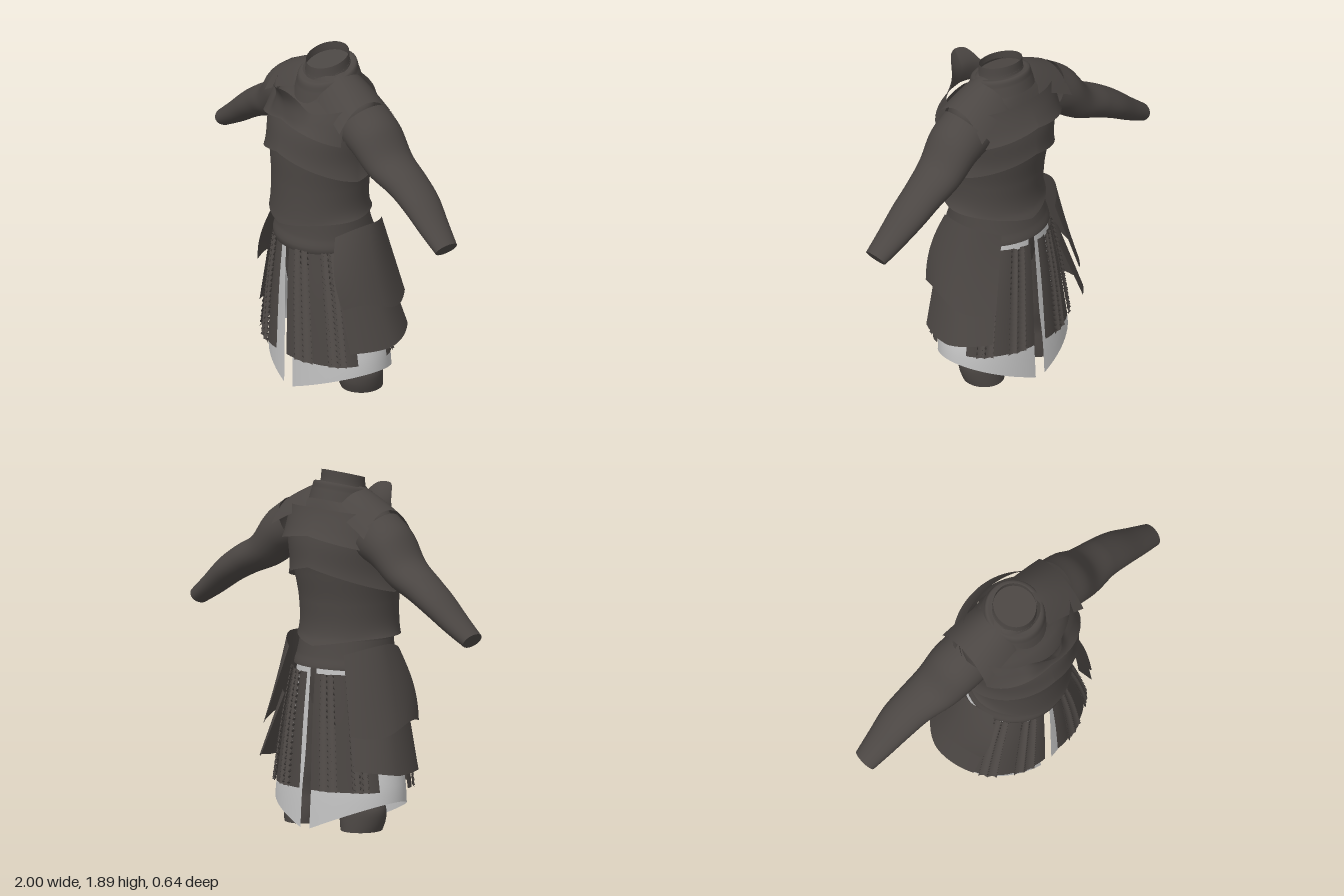
import * as THREE from 'three';
import { ParametricGeometry } from 'three/addons/geometries/ParametricGeometry.js';

const leather = new THREE.MeshStandardMaterial({ color: 0x4b4643, side: THREE.DoubleSide });
leather.name = 'dark leather';
const linen = new THREE.MeshStandardMaterial({ color: 0xc2c2c2, side: THREE.DoubleSide });
linen.name = 'pale linen';

const { lerp } = THREE.MathUtils;
const PI = Math.PI;

// Smooth lookup: rows of [key, ...values] with rising keys
function table(rows) {
  const n = rows[0].length - 1;
  const curve = new THREE.CubicInterpolant(rows.map(r => r[0]), rows.flatMap(r => r.slice(1)), n);
  return t => Array.from(curve.evaluate(t));
}

export function createModel() {
  const model = new THREE.Group();

  // Mesh from a rule (u, v) -> [x, y, z]
  function surface(name, nu, nv, rule, material = leather) {
    const geo = new ParametricGeometry((u, v, p) => p.set(...rule(u, v)), nu, nv);
    const mesh = new THREE.Mesh(geo, material);
    mesh.name = name;
    model.add(mesh);
  }

  // Point on an oval body section: [half width, front z, back z] at height y
  function around(profile, y, angle, out = 0) {
    const [a, zf, zb] = profile(y);
    const c = (zf + zb) / 2, b = (zf - zb) / 2;
    return [(a + out) * Math.sin(angle), y, c + (b + out) * Math.cos(angle)];
  }

  // Shell wrapped round the body between two edges that vary with the angle
  function wrap(name, profile, from, to, low, high, out = () => 0, material = leather, nu = 48, nv = 10) {
    surface(name, nu, nv, (u, v) => {
      const t = lerp(from, to, u);
      return around(profile, lerp(low(t), high(t), v), t, out(v, t, u));
    }, material);
  }

  // Undershirt body
  const body = table([
    [0.66, 0.25, 0.17, -0.19], [0.85, 0.26, 0.22, -0.22], [1.05, 0.25, 0.23, -0.2], [1.3, 0.27, 0.24, -0.21],
    [1.5, 0.31, 0.24, -0.24], [1.6, 0.32, 0.2, -0.23], [1.68, 0.31, 0.14, -0.2], [1.75, 0.2, 0.11, -0.17],
    [1.8, 0.13, 0.09, -0.14]
  ]);
  wrap('undershirt', body, 0, 2 * PI, () => 0.66, () => 1.8, undefined, leather, 48, 40);

  // Standing collar, tilted forward, with a folded lower band and a closed neck
  const collar = table([[0, 1.77, 0.13], [0.5, 1.81, 0.118], [1, 1.865, 0.113]]);
  const fold = table([[0, 1.7, 0.18], [0.4, 1.755, 0.164], [0.8, 1.8, 0.148], [1, 1.8, 0.12]]);
  const neck = table([[0, 1.815, 0], [0.5, 1.815, 0.06], [1, 1.815, 0.118]]);
  for (const [name, rows] of [['collar', collar], ['collarFold', fold], ['neckBase', neck]]) {
    surface(name, 40, 10, (u, v) => {
      const t = u * 2 * PI, [y, r] = rows(v);
      return [r * Math.sin(t), y - 0.29 * r * Math.cos(t), -0.015 + r * Math.cos(t)];
    });
  }

  // Layered cuirass, each edge rising to a point at the middle of chest and back
  const chest = table([
    [0.97, 0.29, 0.3, -0.255], [1.03, 0.272, 0.29, -0.225], [1.2, 0.27, 0.282, -0.222], [1.35, 0.293, 0.285, -0.245],
    [1.5, 0.318, 0.28, -0.265], [1.6, 0.322, 0.245, -0.25], [1.7, 0.305, 0.19, -0.215], [1.8, 0.28, 0.16, -0.18]
  ]);
  const ridge = t => 0.5 * Math.abs(Math.cos(t)) + 0.5 * (1 - Math.abs(Math.sin(t)));
  const flank = t => Math.sin(t) ** 8;
  wrap('lowerCuirass', chest, 0, 2 * PI, t => 1.025 - 0.045 * ridge(t) ** 2, () => 1.42,
    (v, t) => 0.016 * flank(t) * (1 - v) ** 12, leather, 64, 20);
  wrap('middleCuirass', chest, 0, 2 * PI, t => 1.27 + 0.13 * ridge(t), t => 1.5 + 0.08 * ridge(t),
    (v, t) => 0.006 + (0.024 + 0.02 * flank(t)) * (1 - v) ** 3, leather, 64);
  wrap('upperBackPlate', chest, PI - 1.12, PI + 1.12, t => 1.47 + 0.1 * ridge(t), t => 1.68 + 0.03 * ridge(t),
    v => 0.01 + 0.028 * (1 - v) ** 3);
  const beak = t => Math.exp(-((Math.sin(t) / 0.34) ** 4));
  surface('upperChestPlate', 60, 16, (u, v) => {
    const t = lerp(-1.15, 1.15, u);
    const low = 1.465 + 0.115 * ridge(t);
    const high = 1.63 + 0.145 * beak(t) + 0.06 * Math.sin(t) ** 2;
    const p = around(chest, lerp(low, high, v), t, 0.01 + 0.02 * (1 - v) ** 3);
    p[2] += 0.145 * beak(t) * v ** 1.4 * (1 - 0.5 * Math.abs(Math.sin(t)));
    return p;
  });

  // Belt
  const waist = table([
    [0.82, 0.265, 0.255, -0.245], [0.86, 0.28, 0.268, -0.255], [0.92, 0.268, 0.252, -0.235], [1.02, 0.255, 0.24, -0.21]
  ]);
  wrap('belt', waist, 0, 2 * PI, t => 0.85 - 0.015 * Math.cos(t), () => 1.01);

  const cloth = table([
    [0, 0.4, 0.24, -0.31], [0.23, 0.388, 0.238, -0.295], [0.4, 0.345, 0.238, -0.275], [0.6, 0.308, 0.24, -0.26],
    [0.88, 0.25, 0.235, -0.24]
  ]);
  const skirt = table([
    [0.2, 0.405, 0.285, -0.31], [0.6, 0.33, 0.272, -0.285], [0.86, 0.265, 0.255, -0.26]
  ]);
  const arm = table([
    [0, 0.27, 1.575, -0.045, 0.15, 0.15], [1, 0.385, 1.515, -0.05, 0.127, 0.15], [2, 0.497, 1.408, -0.06, 0.098, 0.135],
    [3, 0.63, 1.34, -0.075, 0.086, 0.115], [4, 0.745, 1.27, -0.08, 0.075, 0.105], [5, 0.865, 1.18, -0.075, 0.061, 0.085],
    [6, 0.973, 1.105, -0.07, 0.047, 0.066]
  ]);
  const leg = table([
    [0.01, 0.2, -0.09, 0.108, 0.112], [0.06, 0.2, -0.08, 0.122, 0.118], [0.12, 0.2, -0.075, 0.125, 0.115],
    [0.17, 0.188, -0.07, 0.112, 0.11], [0.3, 0.165, -0.06, 0.122, 0.13], [0.46, 0.15, -0.05, 0.13, 0.145],
    [0.58, 0.142, -0.04, 0.145, 0.16], [0.8, 0.13, -0.03, 0.145, 0.18]
  ]);

  // Limbs, skirts and side guards, mirrored
  for (const s of [1, -1]) {
    const side = s > 0 ? 'left' : 'right';

    // Sleeve with a closed wrist
    surface(side + 'Sleeve', 28, 48, (u, v) => {
      const w = Math.min(v / 0.96, 1), shrink = v > 0.98 ? 0 : 1, a = u * 2 * PI;
      const [x, y, z, rn, rz] = arm(w * 6);
      const n = rn * Math.cos(a) * shrink;
      return [s * (x + 0.57 * n), y + 0.82 * n, z + rz * Math.sin(a) * shrink];
    });

    // Trouser leg with a closed foot end
    surface(side + 'TrouserLeg', 28, 40, (u, v) => {
      const a = u * 2 * PI, k = v < 0.01 ? 0 : 1;
      const y = lerp(0.01, 0.8, Math.max(0, (v - 0.025) / 0.975));
      const [x, z, rx, rz] = leg(y);
      return [s * (x + k * rx * Math.sin(a)), y, z + k * rz * Math.cos(a)];
    });

    // Shoulder yoke
    surface(side + 'ShoulderYoke', 20, 12, (u, v) => {
      const w = u * 2 - 1, x = lerp(0.11, 0.33, v);
      const top = 1.81 - 0.1 * v ** 1.3;
      return [s * x, top - 0.13 * Math.abs(w) ** 2.2, -0.03 + w * lerp(0.16, 0.18, v)];
    });

    // Linen underskirt, split at front and back, arched over the hips
    wrap(side + 'Underskirt', cloth, s * 0.09, s * (PI - 0.08), t => 0.01 + 0.16 * Math.abs(Math.sin(t)),
      () => 0.88, undefined, linen, 40, 16);

    // Hanging strips, plain and scaled by turns, the plain ones tucked under their neighbours
    const cuts = [0.11, 0.29, 0.58, 0.82, 1.1, 1.3];
    for (const back of [false, true]) {
      for (let i = 0; i < 5; i++) {
        const turn = t => s * (back ? PI - t * 0.9 : t);
        const scaled = i % 2 === 1;
        const top = back ? 0.84 : 0.85;
        const from = cuts[i] - (scaled || i === 0 ? 0 : 0.08);
        const to = cuts[i + 1] + (scaled || i === 4 ? 0 : 0.08);
        const name = side + (back ? 'Back' : 'Front') + (scaled ? 'ScaleStrip' : 'PlainStrip') + (i + 1);
        wrap(name, skirt, turn(from), turn(to), () => 0.23, () => top, (v, t, u) => {
          if (!scaled) return 0.004 * Math.sin(u * PI);
          const row = v * 20 + 0.7 * Math.abs(Math.sin(u * 2 * PI));
          return 0.004 + 0.014 * (1 - (row - Math.floor(row)));
        }, leather, scaled ? 16 : 8, scaled ? 80 : 10);
      }
    }

    // Overlapping hip guards, curling round the hip
    const curl = w => (w > 0 ? 0.13 : 0.06) * w * w;
    surface(side + 'LowerHipGuard', 20, 10, (u, v) => {
      const w = u * 2 - 1;
      const zf = lerp(0.15, 0.13, v), zb = lerp(-0.22, -0.29, v);
      const y = lerp(0.7, 0.325 + 0.035 * Math.max(0, w), v);
      return [s * (lerp(0.355, 0.462, v) - curl(w)), y, lerp(zf, zb, u)];
    });
    surface(side + 'UpperHipGuard', 24, 14, (u, v) => {
      const w = u * 2 - 1;
      const zf = 0.13 + 0.05 * Math.sin(v * PI * 0.8), zb = lerp(-0.22, -0.29, v);
      const y = lerp(1 - 0.05 * w * w, 0.56 - 0.035 * Math.sin(w * 2.6), v);
      return [s * (lerp(0.325, 0.437, v) - curl(w)), y, lerp(zf, zb, u)];
    });
  }
  return model;
}
